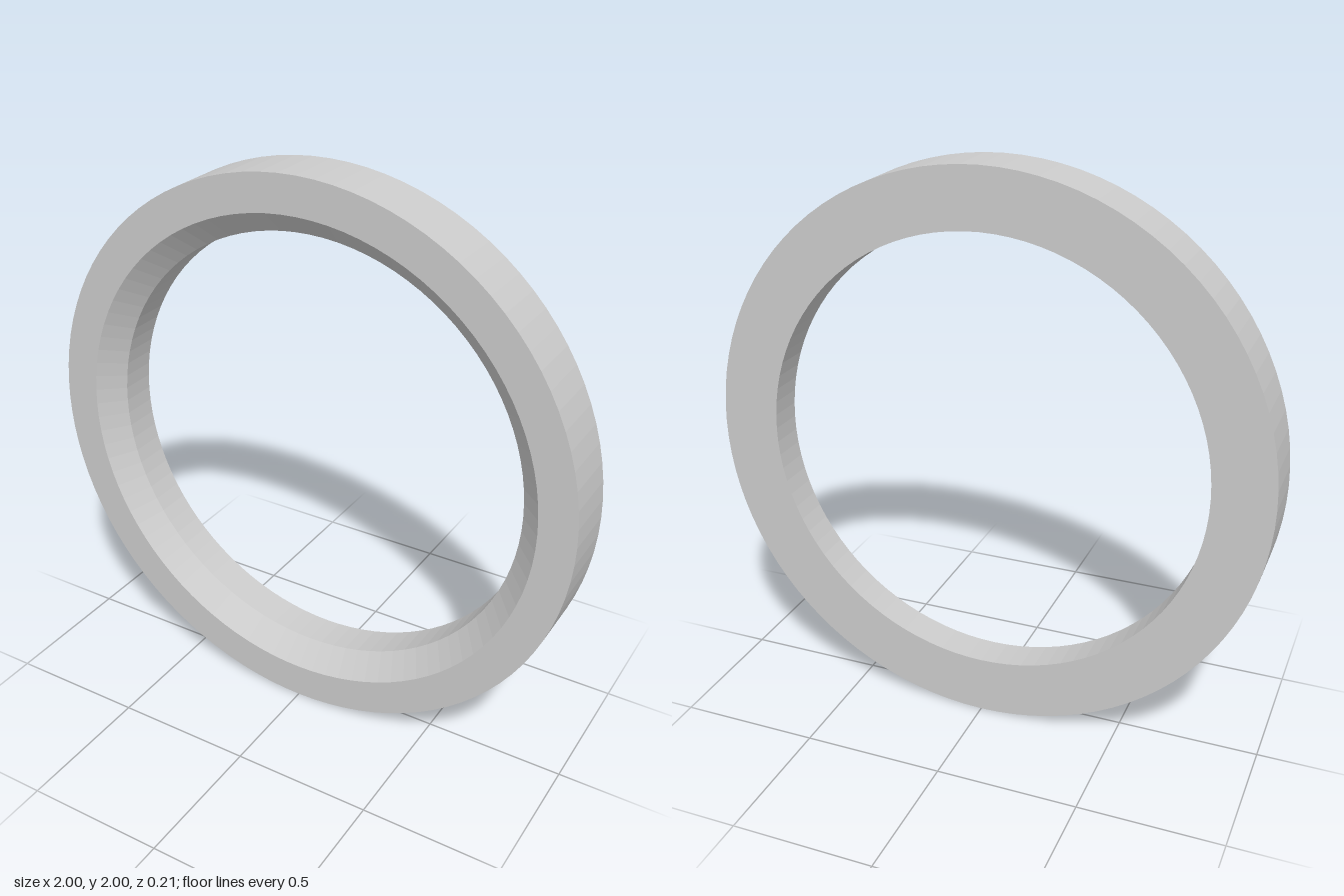
import * as THREE from 'three';

export function createModel() {
  const group = new THREE.Group();
  group.name = 'ring';

  // Closed cross-section (radius, depth): flat back, bevelled front inner edge
  const outer = 1, lip = 0.87, bore = 0.79, half = 0.105, bevelEnd = 0.025;
  const profile = [
    [bore, -half], [outer, -half], [outer, half],
    [lip, half], [bore, bevelEnd], [bore, -half],
  ].map(([r, d]) => new THREE.Vector2(r, d));

  // Revolve, then turn the axis to face the front and stand it on the ground
  const geometry = new THREE.LatheGeometry(profile, 96);
  geometry.rotateX(Math.PI / 2);
  geometry.translate(0, outer, 0);

  const material = new THREE.MeshStandardMaterial({ color: 0xcccccc, flatShading: true });
  const band = new THREE.Mesh(geometry, material);
  band.name = 'bevelledBand';
  group.add(band);
  return group;
}
